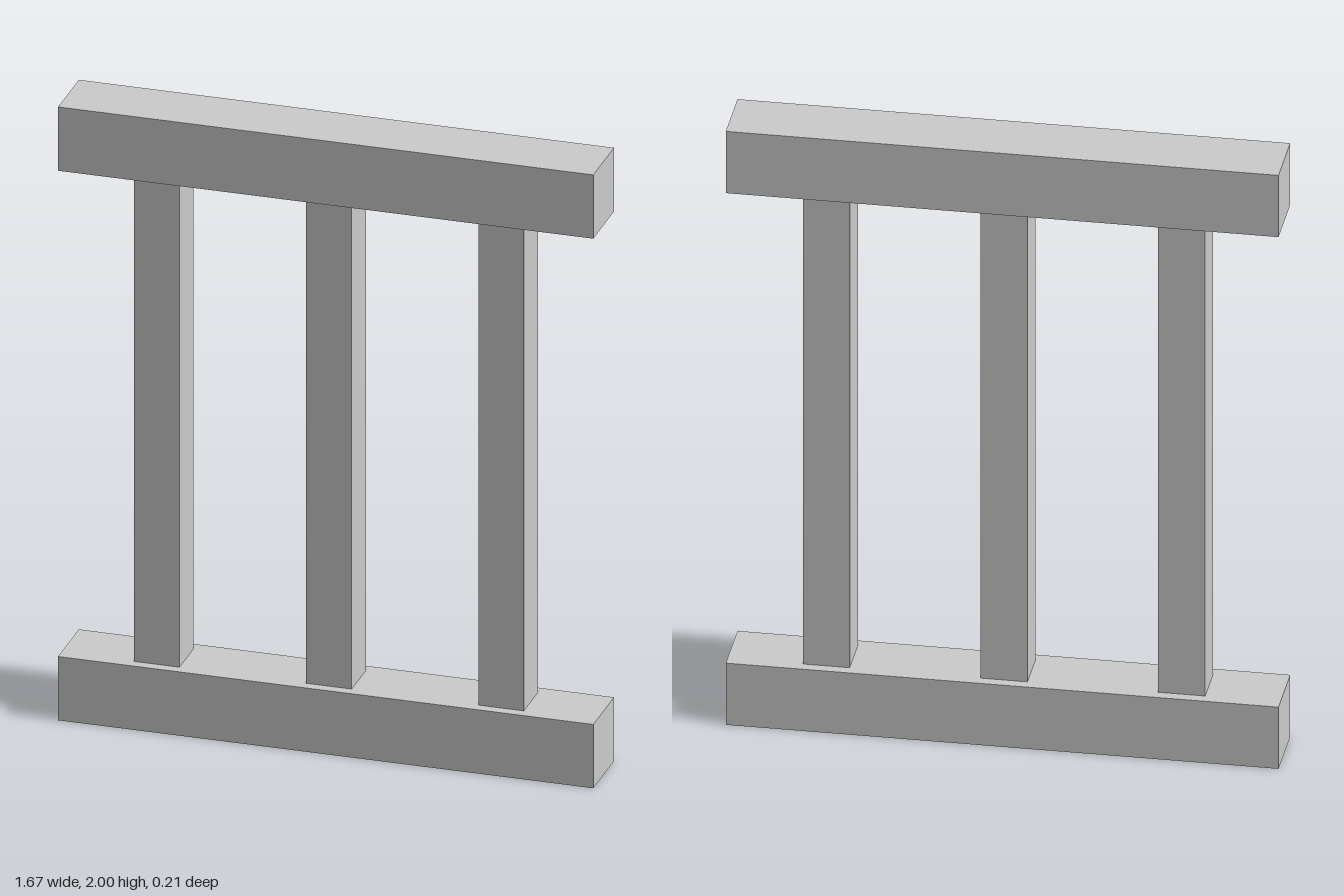
import * as THREE from 'three';

const RAIL = { length: 1.67, size: 0.208 };
const POST = { size: 0.142, spacing: 0.537 };
const HEIGHT = 2;

export function createModel() {
  const model = new THREE.Group();
  model.name = 'railing';
  const material = new THREE.MeshStandardMaterial({ color: 0xcccccc, flatShading: true });

  const addBox = (name, w, h, d, x, y) => {
    const mesh = new THREE.Mesh(new THREE.BoxGeometry(w, h, d), material);
    mesh.name = name;
    mesh.position.set(x, y, 0);
    model.add(mesh);
  };

  // Horizontal rails
  addBox('bottomRail', RAIL.length, RAIL.size, RAIL.size, 0, RAIL.size / 2);
  addBox('topRail', RAIL.length, RAIL.size, RAIL.size, 0, HEIGHT - RAIL.size / 2);

  // Square posts standing between the rails
  const postHeight = HEIGHT - 2 * RAIL.size;
  ['rightPost', 'middlePost', 'leftPost'].forEach((name, i) => {
    addBox(name, POST.size, postHeight, POST.size, (i - 1) * POST.spacing, HEIGHT / 2);
  });

  return model;
}
